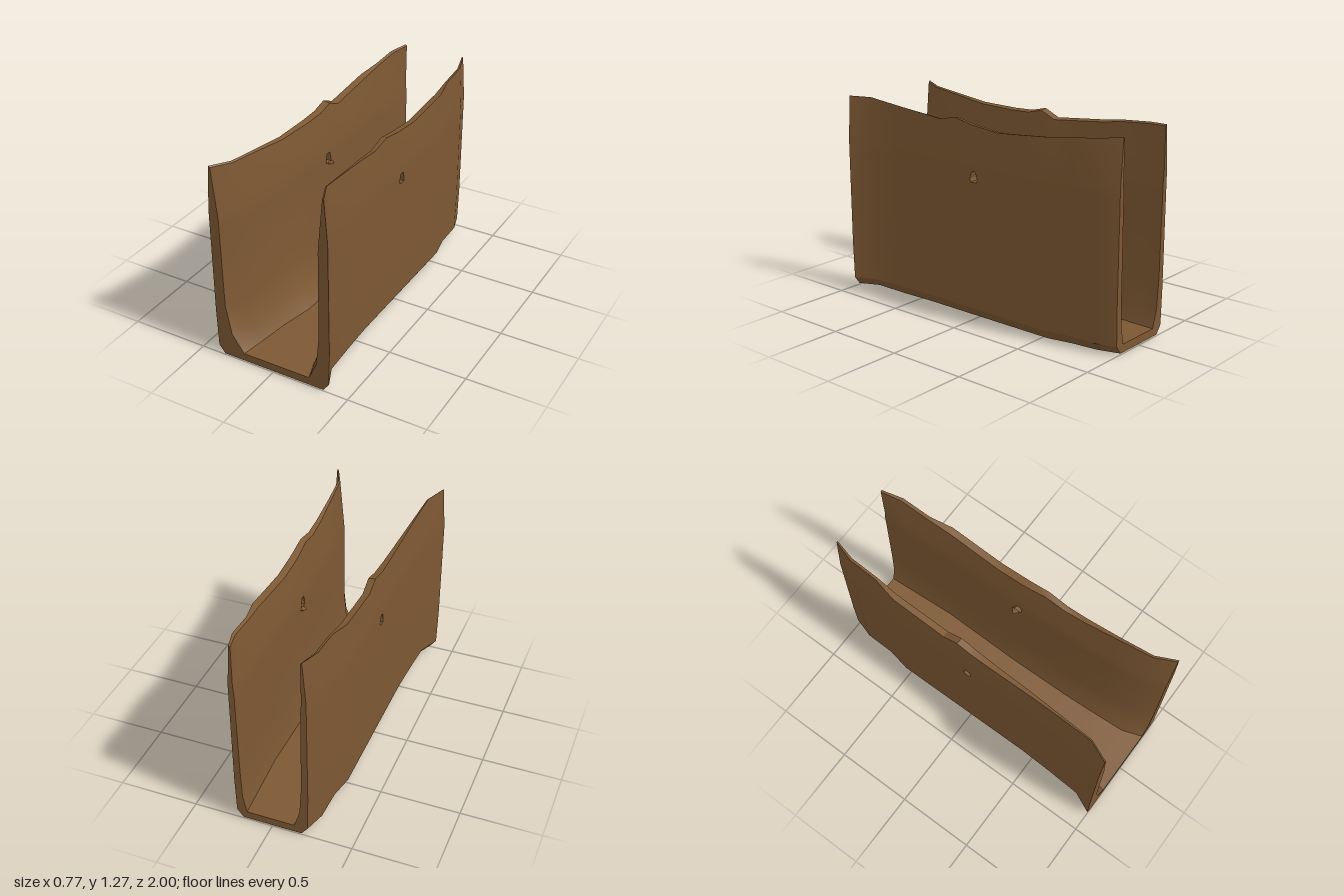
import * as THREE from 'three';
import { toCreasedNormals } from 'three/addons/utils/BufferGeometryUtils.js';

// Piecewise-linear lookup along z, from [z, value] pairs running front to back
function along(table, z) {
  for (let i = 0; i < table.length - 1; i++) {
    const [z0, v0] = table[i], [z1, v1] = table[i + 1];
    if (z >= z1) return v0 + (v1 - v0) * (z0 - z) / (z0 - z1);
  }
  return table[table.length - 1][1];
}

const OUTER = [[1, 0.385], [0.87, 0.325], [0.5, 0.303], [-0.53, 0.305], [-0.68, 0.275], [-0.87, 0.27], [-1, 0.23]];
const INNER = [[1, 0.322], [0.87, 0.265], [0.5, 0.225], [0, 0.205], [-0.53, 0.21], [-0.7, 0.2], [-1, 0.195]];
const TOP = {
  left: [[1, 1.275], [0.87, 1.272], [0.6, 1.24], [0.3, 1.21], [0.17, 1.235], [0.03, 1.208], [-0.17, 1.188], [-0.5, 1.215], [-0.87, 1.255], [-1, 1.275]],
  right: [[1, 1.272], [0.65, 1.235], [0.43, 1.21], [0.17, 1.205], [0.035, 1.21], [-0.07, 1.235], [-0.17, 1.19], [-0.53, 1.225], [-0.68, 1.25], [-1, 1.275]],
};
const FLOOR = {
  left: [[1, 0.245], [0.87, 0.2], [0.5, 0.18], [0, 0.175], [-0.53, 0.185], [-1, 0.16]],
  right: [[1, 0.2], [0.87, 0.18], [0.65, 0.15], [0.43, 0.105], [0.3, 0.1], [0.17, 0.125], [0.035, 0.16], [-0.17, 0.19], [-0.53, 0.185], [-0.68, 0.15], [-1, 0.14]],
};
const COLUMNS = [1, 0.87, 0.65, 0.43, 0.3, 0.17, 0.035, -0.02, -0.07, -0.17, -0.35, -0.53, -0.68, -0.87, -1];
const HOLE = 6; // the holes lie between this column and the next

// Half a cross-section: up the outside, over the rim, down the inside
function halfSection(side, z) {
  const o = along(OUTER, z), n = along(INNER, z), f = along(FLOOR[side], z);
  const top = along(TOP[side], z), low = Math.abs(z) > 0.8 ? 0.008 : 0;
  const lean = 0.35 * (n - f);
  return [
    [o - 0.045, low], [o - 0.006, 0.06], [o, 0.3], [o, 0.865], [o, 0.885], [o, 0.93], [o, 1], [o - 0.02, top],
    [Math.min(n + 0.035, o - 0.045 + 0.015), top - 0.008], [n + 0.006, 1], [n, 0.93], [n, 0.885], [n, 0.865],
    [n - 0.006, 0.36], [n - lean, 0.17], [f, 0.058],
  ];
}

function channelGeometry() {
  const positions = [], index = [], N = 32;
  COLUMNS.forEach((z, c) => {
    const left = halfSection('left', z);
    const right = halfSection('right', z).map(([x, y]) => [-x, y]).reverse();
    [...left, ...right].forEach(([x, y], j) => {
      const k = j < 16 ? j : 31 - j;
      let zz = z;
      // round off the corners of the holes
      if (c === HOLE || c === HOLE + 1) {
        if (k === 5 || k === 10) zz = c === HOLE ? 0.022 : -0.007;
        if (k === 3 || k === 12) zz = c === HOLE ? 0.03 : -0.018;
      }
      positions.push(x, y, zz);
    });
  });
  const at = (c, j) => c * N + j;
  const quad = (a, b, c, d) => index.push(a, b, c, c, b, d);

  // skin, left open at the holes
  const open = [3, 4, 10, 11, 27, 26, 20, 19];
  for (let c = 0; c < COLUMNS.length - 1; c++) {
    for (let j = 0; j < N; j++) {
      if (c === HOLE && open.includes(j)) continue;
      const k = (j + 1) % N;
      quad(at(c, j), at(c + 1, j), at(c, k), at(c + 1, k));
    }
  }

  // tunnels through both walls
  const rim = [[0, 3], [1, 3], [1, 4], [1, 5], [0, 5], [0, 4]];
  rim.forEach(([c, k], i) => {
    const [c2, k2] = rim[(i + 1) % rim.length];
    const a = HOLE + c, b = HOLE + c2;
    quad(at(a, k), at(b, k2), at(a, 15 - k), at(b, 15 - k2));
    quad(at(b, 31 - k2), at(a, 31 - k), at(b, 16 + k2), at(a, 16 + k));
  });

  // end faces
  for (const c of [0, COLUMNS.length - 1]) {
    const outline = [];
    for (let j = 0; j < N; j++) {
      const p = 3 * at(c, j);
      outline.push(new THREE.Vector2(positions[p], positions[p + 1]));
    }
    for (const [a, b, d] of THREE.ShapeUtils.triangulateShape(outline, [])) {
      if (c === 0) index.push(at(c, a), at(c, b), at(c, d));
      else index.push(at(c, a), at(c, d), at(c, b));
    }
  }

  const geometry = new THREE.BufferGeometry();
  geometry.setAttribute('position', new THREE.Float32BufferAttribute(positions, 3));
  geometry.setIndex(index);
  return toCreasedNormals(geometry, 0.5);
}

// Crease-aware normals for the skin, split into flat corners where sharp
export function createModel() {
  const model = new THREE.Group();
  model.name = 'woodenChannel';
  const wood = new THREE.MeshStandardMaterial({ color: 0x7d5833 });

  const channel = new THREE.Mesh(channelGeometry(), wood);
  channel.name = 'channel';
  model.add(channel);

  // splintered lips on the inside, below the holes
  for (const s of [1, -1]) {
    const lip = new THREE.Mesh(new THREE.ConeGeometry(0.045, 0.045, 5), wood);
    lip.name = s > 0 ? 'leftHoleLip' : 'rightHoleLip';
    lip.rotation.z = s * Math.PI / 2;
    lip.scale.set(0.18, 1, 1);
    lip.position.set(s * 0.196, 0.858, -0.01);
    model.add(lip);
  }
  return model;
}
